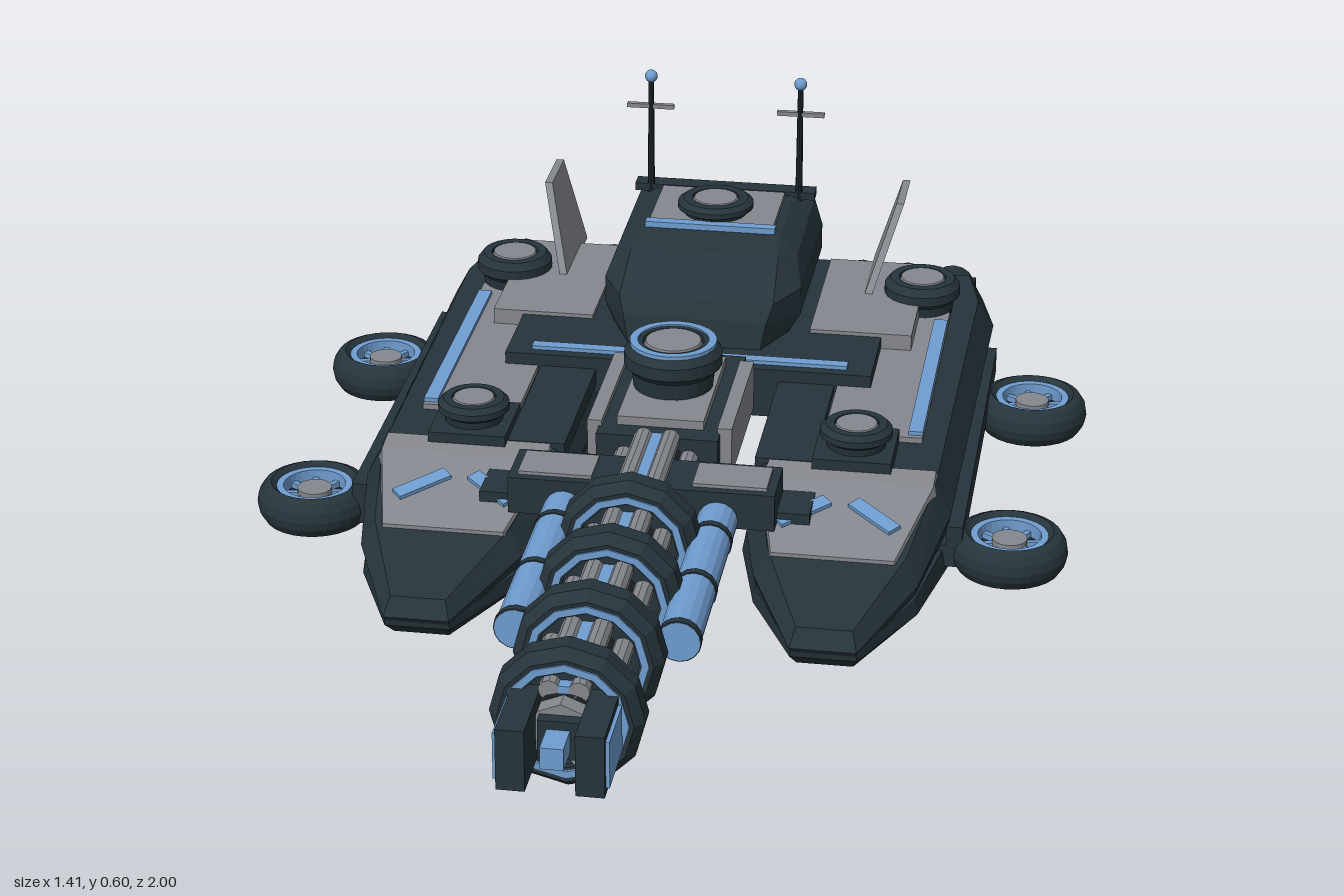
import * as THREE from 'three';
import { ConvexGeometry } from 'three/addons/geometries/ConvexGeometry.js';

const mat = (name, color) => Object.assign(new THREE.MeshStandardMaterial({ color }), { name });
const dark = mat('dark armour', 0x26343b);
const black = mat('shadow metal', 0x1b2429);
const grey = mat('grey plate', 0x85888e);
const blue = mat('blue trim', 0x6f9dd0);

export function createModel() {
  const root = new THREE.Group();
  root.name = 'hoverGunship';

  // Adds a facetted mesh
  const add = (name, geo, m, x = 0, y = 0, z = 0, parent = root) => {
    const g = geo.index ? geo.toNonIndexed() : geo;
    g.computeVertexNormals();
    const mesh = new THREE.Mesh(g, m);
    mesh.name = name;
    mesh.position.set(x, y, z);
    parent.add(mesh);
    return mesh;
  };
  // Box given by its limits on each axis
  const box = (name, m, x0, x1, y0, y1, z0, z1, parent) =>
    add(name, new THREE.BoxGeometry(Math.abs(x1 - x0), y1 - y0, Math.abs(z1 - z0)), m,
      (x0 + x1) / 2, (y0 + y1) / 2, (z0 + z1) / 2, parent);
  const hull = (name, m, pts) =>
    add(name, new ConvexGeometry(pts.map(p => new THREE.Vector3(...p))), m);
  const disc = (name, m, r0, r1, h, x, y, z, parent, n = 24) =>
    add(name, new THREE.CylinderGeometry(r1, r0, h, n), m, x, y + h / 2, z, parent);
  const lathe = (pts, n) => new THREE.LatheGeometry(pts.map(p => new THREE.Vector2(...p)), n);
  // Rod lying along z
  const rod = (name, m, r, x, y, z0, z1, n = 16) =>
    add(name, new THREE.CylinderGeometry(r, r, z1 - z0, n).rotateX(Math.PI / 2), m, x, y, (z0 + z1) / 2);

  // Low round turret: stepped dark drum with a grey cap
  const turret = (name, x, y, z, r, h) => {
    const g = new THREE.Group();
    g.name = name;
    g.position.set(x, y, z);
    root.add(g);
    add('drum', lathe([[0, 0], [r * 0.8, 0], [r * 0.85, h * 0.4], [r, h * 0.55], [r, h * 0.8],
      [r * 0.85, h], [r * 0.62, h], [r * 0.62, h * 0.9], [0, h * 0.9]], 24), dark, 0, 0, 0, g);
    disc('cap', grey, r * 0.6, r * 0.56, h * 0.12, 0, h * 0.9, 0, g);
    return g;
  };

  // Plan outline of one hull: [x, z]
  const plan = [[0.28, 0.41], [0.39, 0.41], [0.47, 0.22], [0.505, 0.02], [0.515, -0.78], [0.485, -0.9],
    [0.19, -0.9], [0.16, -0.78], [0.15, 0.02], [0.195, 0.22]];
  // Outline shrunk about the hull centre, with a height that depends on z
  const layer = (s, kx, kz, y) => plan.map(([x, z]) => {
    const zz = -0.25 + (z + 0.25) * kz;
    return [s * (0.333 + (x - 0.333) * kx), y(zz), zz];
  });
  const nose = (z, back, front) => z < 0.02 ? back : back + (front - back) * (z - 0.02) / 0.39;

  for (const s of [1, -1]) {
    const side = s > 0 ? 'left' : 'right';
    const b = (name, m, x0, x1, ...rest) => box(side + name, m, s * x0, s * x1, ...rest);

    // Hull: lower shell, grey waistband, upper shell
    hull(side + 'LowerHull', dark, [...layer(s, 0.84, 0.94, z => nose(z, 0.012, 0.03)),
      ...layer(s, 1, 0.985, z => nose(z, 0.04, 0.055)), ...layer(s, 0.96, 0.99, z => nose(z, 0.08, 0.07))]);
    hull(side + 'Waistband', grey, [...layer(s, 0.93, 0.95, () => 0.07), ...layer(s, 0.93, 0.95, z => nose(z, 0.105, 0.08))]);
    hull(side + 'UpperHull', dark, [...layer(s, 0.96, 0.99, z => nose(z, 0.1, 0.065)),
      ...layer(s, 1, 1, z => nose(z, 0.135, 0.075)), ...layer(s, 0.84, 0.97, z => nose(z, 0.19, 0.1))]);

    // Sloped grey plate behind the nose with blue chevrons
    const plateTop = z => 0.199 - Math.max(0, z) * 0.22;
    const plateRim = [[0.19, -0.02], [0.475, -0.02], [0.475, 0.03], [0.43, 0.225], [0.225, 0.225], [0.185, 0.03]];
    hull(side + 'ForePlate', grey, [...plateRim.map(([x, z]) => [s * x, plateTop(z), z]),
      ...plateRim.map(([x, z]) => [s * (0.333 + (x - 0.333) * 1.08), plateTop(z) - 0.035, z])]);
    for (const [x, turn] of [[0.265, 0.72], [0.385, -0.72]]) {
      const c = add(side + 'Chevron', new THREE.BoxGeometry(0.1, 0.008, 0.026).rotateY(s * turn), blue,
        s * x, plateTop(0.12) + 0.003, 0.12);
      c.rotation.x = 0.215;
    }
    b('NoseLight', grey, 0.31, 0.35, 0.096, 0.106, 0.355, 0.363);

    // Deck plates and trim
    b('MidPlate', grey, 0.27, 0.44, 0.17, 0.2, -0.68, -0.14);
    b('TrimStrip', blue, 0.415, 0.44, 0.2, 0.207, -0.63, -0.15);
    b('RearPlate', grey, 0.2, 0.385, 0.18, 0.229, -0.83, -0.5);
    b('InnerDeckRail', dark, 0.165, 0.265, 0.17, 0.2, -0.33, -0.02);
    b('Sponson', dark, 0.5, 0.528, 0.075, 0.125, -0.7, 0.04);

    // Hull turrets
    b('TurretBase', dark, 0.265, 0.4, 0.185, 0.215, -0.14, 0);
    turret(side + 'ForeTurret', s * 0.333, 0.21, -0.07, 0.062, 0.045);
    turret(side + 'AftTurret', s * 0.385, 0.19, -0.705, 0.07, 0.068);

    // Canted tail fin
    hull(side + 'Fin', grey, [[-0.67, 0.22, 0.285], [-0.78, 0.37, 0.333], [-0.9, 0.37, 0.333], [-0.88, 0.22, 0.285]]
      .flatMap(([z, y, x]) => [[s * (x - 0.007), y, z], [s * (x + 0.007), y, z]]));

    // Triple engines
    b('EngineBlock', black, 0.2, 0.47, 0.07, 0.17, -0.92, -0.86);
    for (const x of [0.245, 0.333, 0.421]) {
      add(side + 'Engine', lathe([[0, -0.12], [0.034, -0.12], [0.034, -0.05], [0.041, -0.035], [0.041, 0.03],
        [0.034, 0.03], [0.032, 0.02], [0, 0.02]], 16).rotateX(-Math.PI / 2), dark, s * x, 0.118, -0.968);
      rod(side + 'EngineGlow', blue, 0.034, s * x, 0.118, -0.996, -0.985);
    }

    // Hover fans
    for (const z of [0, -0.555]) {
      const fan = new THREE.Group();
      fan.name = side + 'HoverFan';
      fan.position.set(s * 0.605, 0.035, z);
      root.add(fan);
      add('tyre', lathe([[0.062, 0.012], [0.075, 0], [0.088, 0.005], [0.097, 0.02], [0.1, 0.035], [0.097, 0.052],
        [0.088, 0.066], [0.075, 0.072], [0.062, 0.06], [0.062, 0.012]], 28), dark, 0, 0, 0, fan);
      add('rim', lathe([[0.054, 0.01], [0.066, 0.01], [0.066, 0.064], [0.054, 0.064], [0.054, 0.01]], 28), blue, 0, 0, 0, fan);
      disc('well', black, 0.056, 0.056, 0.02, 0, 0.02, 0, fan);
      disc('hub', grey, 0.03, 0.03, 0.05, 0, 0.008, 0, fan);
      for (let i = 0; i < 4; i++) {
        const spoke = add('spoke', new THREE.BoxGeometry(0.115, 0.01, 0.01), blue, 0, 0.045, 0, fan);
        spoke.rotation.y = i * Math.PI / 4 + 0.2;
      }
      b('FanArm', dark, 0.48, 0.54, 0.05, 0.09, z - 0.04, z + 0.04);
    }

    // Belly lift pads
    for (const z of [0.12, -0.23, -0.6]) disc(side + 'LiftPad', blue, 0.045, 0.05, 0.014, s * 0.333, 0, z);

    // Antenna
    disc(side + 'Mast', black, 0.007, 0.005, 0.25, s * 0.14, 0.335, -0.8, root, 8);
    b('MastBar', grey, 0.097, 0.185, 0.525, 0.533, -0.806, -0.796);
    add(side + 'MastTip', new THREE.SphereGeometry(0.012, 12, 8), blue, s * 0.14, 0.588, -0.8);

    // Gun side parts
    b('CradleCheek', grey, 0.1, 0.125, 0.16, 0.25, -0.3, -0.02);
    b('YokePlate', grey, 0.085, 0.21, 0.16, 0.236, 0.085, 0.165);
    b('YokeStrut', dark, 0.19, 0.28, 0.15, 0.185, 0.03, 0.15);
    rod(side + 'Canister', blue, 0.034, s * 0.13, 0.178, 0.08, 0.6);
    for (const z of [0.25, 0.42, 0.585]) rod(side + 'CanisterBand', dark, 0.036, s * 0.13, 0.178, z, z + 0.014);
    b('MuzzleProng', dark, 0.038, 0.082, 0.13, 0.232, 0.82, 1);
    b('ProngPlate', blue, 0.08, 0.088, 0.142, 0.22, 0.88, 0.99);
  }

  // Cross deck and command bridge
  box('crossDeck', dark, -0.33, 0.33, 0.13, 0.222, -0.84, -0.33);
  box('deckStrip', blue, -0.285, 0.285, 0.222, 0.229, -0.372, -0.35);
  hull('bridge', dark, [[0.22, -0.41, 0.12], [0.27, -0.42, 0.13], [0.3, -0.44, 0.14], [0.352, -0.54, 0.135],
    [0.366, -0.6, 0.13], [0.366, -0.83, 0.13], [0.345, -0.845, 0.165], [0.23, -0.845, 0.165],
    [0.34, -0.58, 0.165], [0.3, -0.52, 0.18], [0.25, -0.52, 0.18], [0.3, -0.83, 0.182], [0.25, -0.83, 0.182], [0.22, -0.5, 0.16]]
    .flatMap(([y, z, x]) => [[x, y, z], [-x, y, z]]));
  box('bridgeRoof', grey, -0.115, 0.115, 0.36, 0.375, -0.79, -0.62);
  box('bridgeStrip', blue, -0.12, 0.12, 0.362, 0.377, -0.625, -0.605);
  box('bridgeRearRail', dark, -0.17, 0.17, 0.36, 0.374, -0.83, -0.795);
  turret('bridgeTurret', 0, 0.365, -0.68, 0.07, 0.038);

  // Gun cradle and main turret
  box('cradle', dark, -0.105, 0.105, 0.12, 0.24, -0.34, 0.01);
  box('cradleTop', grey, -0.075, 0.075, 0.235, 0.256, -0.3, -0.03);
  turret('mainTurret', 0, 0.25, -0.175, 0.086, 0.088);
  add('mainTurretRing', lathe([[0.062, 0], [0.076, 0], [0.076, 0.008], [0.062, 0.008], [0.062, 0]], 24), blue, 0, 0.333, -0.175);
  box('yoke', dark, -0.225, 0.225, 0.165, 0.23, 0.07, 0.18);

  // Barrel cluster: dark core, grey rods, blue centre lines
  const gunY = 0.18;
  rod('barrelCore', black, 0.055, 0, gunY, -0.02, 0.88, 12);
  for (let i = 0; i < 8; i++) {
    const a = (i + 0.5) * Math.PI / 4;
    rod('barrelRod', grey, 0.017, Math.cos(a) * 0.06, gunY + Math.sin(a) * 0.06, 0, 0.88, 10);
  }
  for (const y of [gunY - 0.058, gunY + 0.058]) box('barrelLine', blue, -0.009, 0.009, y - 0.006, y + 0.006, 0, 0.88);
  rod('muzzlePlate', grey, 0.05, 0, gunY, 0.88, 0.91, 8);
  box('muzzleSocket', dark, -0.032, 0.032, gunY - 0.032, gunY + 0.032, 0.9, 0.93);
  box('muzzleCore', blue, -0.018, 0.018, gunY - 0.018, gunY + 0.018, 0.9, 0.985);

  // Accelerator rings
  for (const z of [0.28, 0.465, 0.655, 0.84]) {
    add('acceleratorRing', lathe([[0.082, -0.03], [0.105, -0.034], [0.12, -0.016], [0.12, 0.016], [0.105, 0.034],
      [0.082, 0.03], [0.082, -0.03]], 12).rotateX(Math.PI / 2), dark, 0, gunY, z);
    add('ringTrim', lathe([[0.086, -0.036], [0.098, -0.036], [0.098, 0.036], [0.086, 0.036], [0.086, -0.036]], 12)
      .rotateX(Math.PI / 2), blue, 0, gunY, z);
    rod('ringHub', dark, 0.083, 0, gunY, z - 0.02, z + 0.02, 12);
  }
  return root;
}
